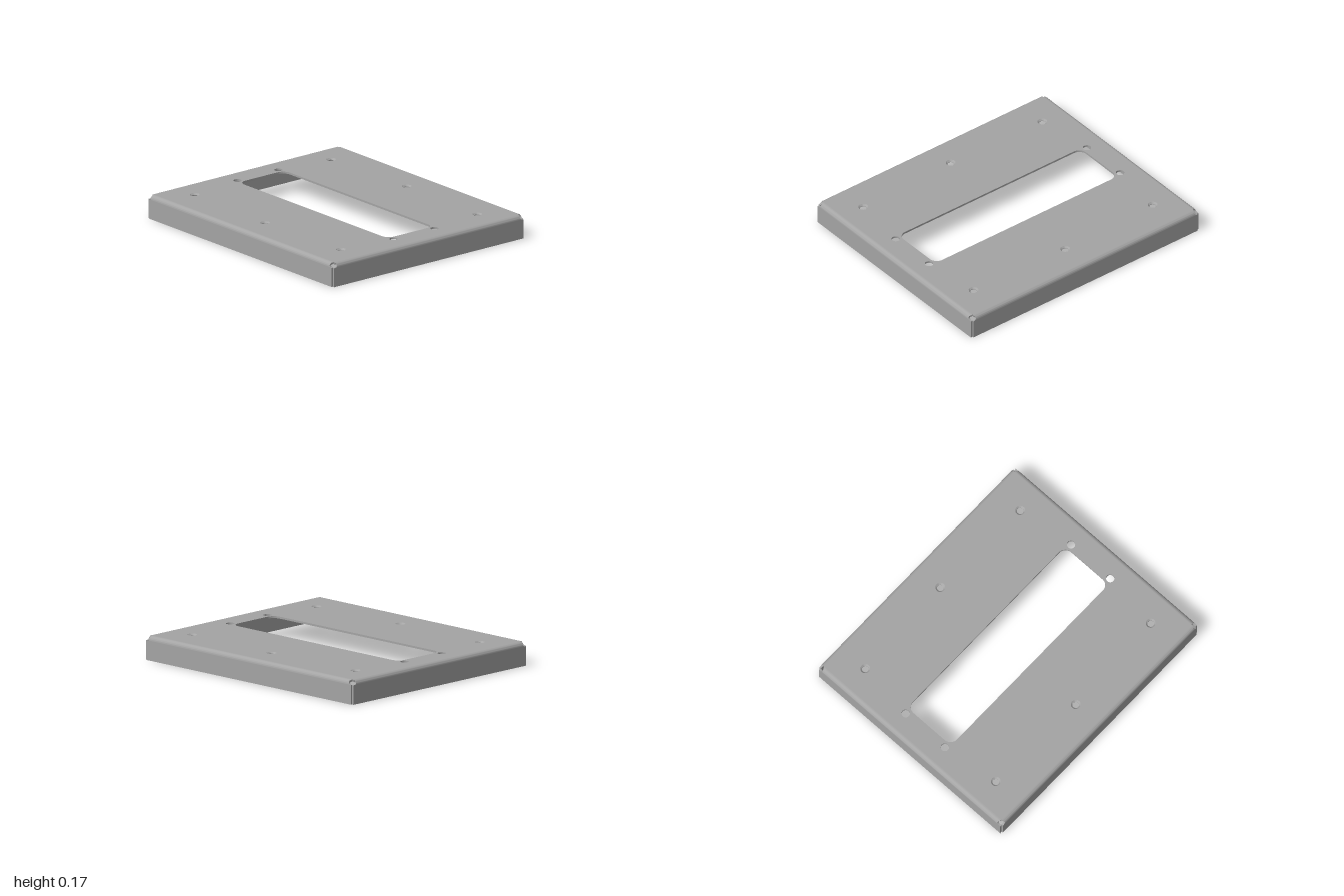
import * as THREE from 'three';
import { toCreasedNormals } from 'three/addons/utils/BufferGeometryUtils.js';

const HX = 1, HZ = 0.857, H = 0.171; // outer half sizes and height
const T = 0.014, R = 0.032;          // sheet thickness, outer bend radius
const RELIEF = 0.022, RELIEF_V = 0.03; // round corner relief: radius, distance past the bend line
const material = new THREE.MeshStandardMaterial({ color: 0xa4a4a4, side: THREE.DoubleSide });

function part(geometry, name) {
  const mesh = new THREE.Mesh(toCreasedNormals(geometry, 0.6), material);
  mesh.name = name;
  return mesh;
}

function circleHole(x, z, r) {
  return new THREE.Path().absarc(x, z, r, 0, Math.PI * 2, true);
}

// Flat sheet with its opening and holes
function plate(plainHoles, sinkHoles) {
  const x = HX - R, z = HZ - R;
  const s = new THREE.Shape();
  s.moveTo(-x, -z);
  s.lineTo(x, -z);
  s.lineTo(x, z);
  s.lineTo(-x, z);
  s.closePath();

  // Rounded rectangular opening
  const w = 0.802, d = 0.205, r = 0.06;
  const slot = new THREE.Path();
  slot.absarc(w - r, d - r, r, 0, Math.PI / 2);
  slot.absarc(-w + r, d - r, r, Math.PI / 2, Math.PI);
  slot.absarc(-w + r, -d + r, r, Math.PI, Math.PI * 1.5);
  slot.absarc(w - r, -d + r, r, Math.PI * 1.5, Math.PI * 2);
  slot.closePath();
  s.holes.push(slot);
  for (const [hx, hz] of plainHoles) s.holes.push(circleHole(hx, hz, 0.029));
  for (const [hx, hz] of sinkHoles) s.holes.push(circleHole(hx, hz, 0.034));

  const g = new THREE.ExtrudeGeometry(s, { depth: T, bevelEnabled: false, curveSegments: 14 });
  g.rotateX(-Math.PI / 2).translate(0, H - T, 0);
  return part(g, 'topPlate');
}

// Bent edge: cross-sections run around the bend, then down the flange
function flange(halfLength, flangeHalf, reach, name) {
  const rows = [];
  // Half width at a distance v past the bend line, cut by the round relief
  const width = (v) => {
    const full = v < RELIEF_V ? halfLength - R : flangeHalf;
    const k = RELIEF * RELIEF - (v - RELIEF_V) ** 2;
    return k > 0 ? Math.min(full, halfLength - 0.018 - Math.sqrt(k)) : full;
  };
  const N = 16, arc = R * Math.PI / 2;
  for (let i = 0; i <= N; i++) {
    const a = i / N * Math.PI / 2, s = Math.sin(a), c = Math.cos(a), r = R - T;
    rows.push([width(arc * i / N), reach - R + R * s, H - R + R * c, reach - R + r * s, H - R + r * c]);
  }
  for (const y of [H - R - 0.001, H - R - 0.002, 0]) {
    rows.push([width(arc + H - R - y), reach, y, reach - T, y]);
  }
  const pos = [], index = [];
  for (const [w, zo, yo, zi, yi] of rows) pos.push(-w, yo, zo, w, yo, zo, w, yi, zi, -w, yi, zi);
  for (let i = 0; i < rows.length - 1; i++) {
    for (let k = 0; k < 4; k++) {
      const a = i * 4 + k, b = i * 4 + (k + 1) % 4;
      index.push(a, a + 4, b + 4, a, b + 4, b);
    }
  }
  const e = (rows.length - 1) * 4;
  index.push(e, e + 3, e + 2, e, e + 2, e + 1); // bottom edge
  const g = new THREE.BufferGeometry();
  g.setAttribute('position', new THREE.Float32BufferAttribute(pos, 3));
  g.setIndex(index);
  return part(g, name);
}

// Tapered seat lining a screw hole
function countersink(x, z) {
  const points = [[0.034, 0], [0.023, 0], [0.023, T - 0.01], [0.034, T]]
    .map(([r, y]) => new THREE.Vector2(r, y));
  const mesh = part(new THREE.LatheGeometry(points, 28), 'countersink');
  mesh.position.set(x, H - T, z);
  return mesh;
}

export function createModel() {
  const model = new THREE.Group();
  model.name = 'coverPlate';

  const plainHoles = [], sinkHoles = [];
  for (const sz of [-1, 1]) {
    sinkHoles.push([0, sz * 0.633]);
    for (const sx of [-1, 1]) {
      plainHoles.push([sx * 0.84, sz * 0.183]);
      sinkHoles.push([sx * 0.787, sz * 0.61]);
    }
  }
  model.add(plate(plainHoles, sinkHoles));
  for (const [x, z] of sinkHoles) model.add(countersink(x, z));

  // Four bent flanges, turned to face each side
  ['frontFlange', 'leftFlange', 'backFlange', 'rightFlange'].forEach((name, i) => {
    const f = i % 2 ? flange(HZ, 0.847, HX, name) : flange(HX, 0.983, HZ, name);
    f.rotation.y = i * Math.PI / 2;
    model.add(f);
  });
  return model;
}
